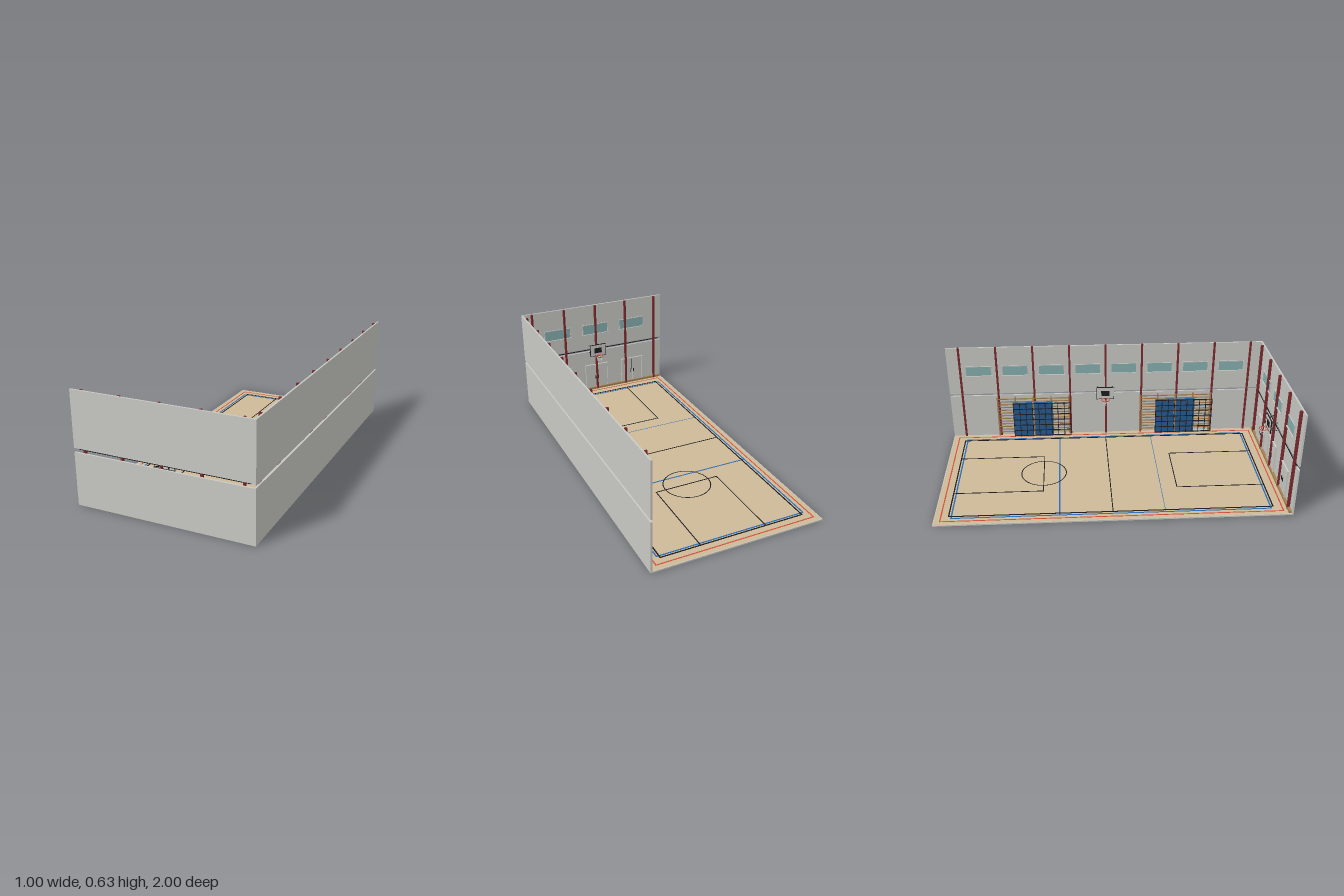
import * as THREE from 'three';

const mat = (name, color) => Object.assign(new THREE.MeshStandardMaterial({ color }), { name });

export function createModel() {
  const M = {
    wall: mat('wall grey', 0xc8c8c4),
    floor: mat('floor tan', 0xcdba98),
    redLine: mat('line red', 0xd2503a),
    blueLine: mat('line blue', 0x2a6cb8),
    black: mat('black', 0x1c1c20),
    column: mat('column red', 0x7c2a2e),
    glass: mat('window glass', 0x86aeae),
    wood: mat('wood', 0xa5804f),
    mat: mat('mat blue', 0x24598f),
    net: mat('net white', 0xe4e2dc),
  };
  const root = new THREE.Group();
  root.name = 'gymnasium';

  // Box given by its limits on each axis
  function box(name, m, x0, x1, y0, y1, z0, z1, parent = root) {
    const mesh = new THREE.Mesh(new THREE.BoxGeometry(x1 - x0, y1 - y0, z1 - z0), m);
    mesh.position.set((x0 + x1) / 2, (y0 + y1) / 2, (z0 + z1) / 2);
    mesh.name = name;
    parent.add(mesh);
    return mesh;
  }
  function rod(name, m, a, b, r, parent) {
    const curve = new THREE.LineCurve3(new THREE.Vector3(...a), new THREE.Vector3(...b));
    const mesh = new THREE.Mesh(new THREE.TubeGeometry(curve, 1, r, 6), m);
    mesh.name = name;
    parent.add(mesh);
  }
  function group(name, parent = root) {
    const g = new THREE.Group();
    g.name = name;
    parent.add(g);
    return g;
  }

  // Floor slab and its grey edge
  const F = 0.008;
  box('floor', M.floor, -0.496, 0.49, 0, F, -0.996, 0.996);
  box('floorEdgeSide', M.wall, -0.5, -0.496, 0, F, -1, 1);
  box('floorEdgeBack', M.wall, -0.496, 0.49, 0, F, -1, -0.996);
  box('floorEdgeFront', M.wall, -0.496, 0.49, 0, F, 0.996, 1);

  // Walls, each in two bands with a gap between
  box('frontWallLower', M.wall, -0.5, 0.49, F, 0.295, 0.99, 1);
  box('frontWallUpper', M.wall, -0.5, 0.49, 0.318, 0.63, 0.99, 1);
  box('sideWallLower', M.wall, 0.49, 0.5, 0, 0.297, -1, 1);
  box('sideWallUpper', M.wall, 0.49, 0.5, 0.311, 0.63, -1, 1);
  box('frontRail', M.black, -0.48, 0.47, 0.308, 0.313, 0.985, 0.989);
  box('frontSkirting', M.wood, -0.49, 0.478, F, 0.022, 0.975, 0.99);

  // Columns
  for (let i = 0; i < 5; i++) {
    const x = -0.445 + i * 0.22;
    box('frontColumn', M.column, x - 0.006, x + 0.006, F, 0.629, 0.974, 0.99);
  }
  for (let i = 0; i < 9; i++) {
    const z = -0.92 + i * 0.23;
    box('sideColumn', M.column, 0.478, 0.49, F, 0.635, z - 0.006, z + 0.006);
  }

  // Court markings
  const lines = group('courtLines');
  const strip = (m, x0, x1, z0, z1, h, w = 0.006) => box('courtLine', m,
    x0 - w / 2, x1 + w / 2, F, F + h, z0 - w / 2, z1 + w / 2, lines);
  function outline(m, x0, x1, z0, z1, h, w) {
    for (const x of [x0, x1]) strip(m, x, x, z0, z1, h, w);
    for (const z of [z0, z1]) strip(m, x0, x1, z, z, h, w);
  }
  outline(M.redLine, -0.467, 0.455, -0.963, 0.952, 0.001, 0.007);
  outline(M.blueLine, -0.44, 0.425, -0.905, 0.888, 0.001, 0.008);
  outline(M.black, -0.423, 0.412, -0.92, 0.902, 0.002, 0.007);
  strip(M.blueLine, -0.44, 0.425, -0.305, -0.305, 0.001, 0.008);
  strip(M.blueLine, -0.44, 0.425, 0.29, 0.29, 0.001, 0.003);
  strip(M.black, -0.423, 0.412, -0.005, -0.005, 0.002, 0.005);
  outline(M.black, -0.197, 0.187, -0.92, -0.4, 0.002, 0.005);
  outline(M.black, -0.197, 0.187, 0.385, 0.902, 0.002, 0.005);
  const circle = new THREE.Mesh(new THREE.RingGeometry(0.132, 0.138, 64), M.black);
  circle.name = 'courtCircle';
  circle.rotation.x = -Math.PI / 2;
  circle.position.set(-0.005, F + 0.0025, -0.4);
  lines.add(circle);

  // Wall fittings are built facing -z with the wall at z = 0
  function place(g, side, along) {
    if (side) {
      g.rotation.y = Math.PI / 2;
      g.position.set(0.49, 0, along);
    } else g.position.set(along, 0, 0.99);
    return g;
  }
  function frame(g, m, w, y0, y1, t, d) {
    for (const s of [-1, 1]) box('frameSide', m, s * w / 2 - t / 2, s * w / 2 + t / 2, y0, y1, -d, 0, g);
    box('frameTop', m, -w / 2, w / 2, y1 - t, y1, -d, 0, g);
  }

  // Windows
  function addWindow(side, along, w, y0, y1) {
    const g = place(group('window'), side, along);
    box('windowGlass', M.glass, -w / 2, w / 2, y0, y1, -0.003, 0, g);
    frame(g, M.wall, w, y0, y1, 0.004, 0.006);
    box('windowSill', M.wall, -w / 2 - 0.005, w / 2 + 0.005, y0 - 0.005, y0, -0.01, 0, g);
  }
  for (let i = 0; i < 8; i++) addWindow(true, -0.805 + i * 0.23, 0.16, 0.44, 0.505);
  for (const x of [0.265, -0.005, -0.275]) {
    addWindow(false, x, 0.18, 0.425, 0.495);

    // Double door below each front window
    const g = place(group('doubleDoor'), false, x);
    frame(g, M.wall, 0.16, F, 0.195, 0.006, 0.01);
    for (const s of [-1, 1]) {
      box('doorLeaf', M.wall, s * 0.039 - 0.037, s * 0.039 + 0.037, F, 0.187, -0.005, 0, g);
      box('doorHandle', M.black, s * 0.011 - 0.002, s * 0.011 + 0.002, 0.085, 0.11, -0.01, -0.005, g);
    }
    box('doorSeam', M.black, -0.001, 0.001, F, 0.187, -0.004, 0, g);
  }

  // Basketball hoops
  function addHoop(side) {
    const g = place(group('basketballHoop'), side, -0.005);
    box('backboard', M.wall, -0.056, 0.056, 0.275, 0.355, -0.044, -0.04, g);
    for (const s of [-1, 1]) {
      box('backboardEdge', M.black, s * 0.056 - 0.0015, s * 0.056 + 0.0015, 0.275, 0.355, -0.045, -0.039, g);
      for (const y of [0.29, 0.34]) rod('bracket', M.black, [s * 0.05, y, 0], [s * 0.02, y, -0.04], 0.003, g);
    }
    for (const y of [0.275, 0.355]) box('backboardEdge', M.black, -0.056, 0.056, y - 0.0015, y + 0.0015, -0.045, -0.039, g);
    box('targetSquare', M.black, -0.026, 0.026, 0.295, 0.332, -0.046, -0.044, g);
    const ring = new THREE.Mesh(new THREE.TorusGeometry(0.024, 0.0025, 6, 24), M.redLine);
    ring.name = 'hoopRing';
    ring.rotation.x = Math.PI / 2;
    ring.position.set(0, 0.28, -0.071);
    g.add(ring);
    for (let i = 0; i < 10; i++) {
      const a = i * Math.PI / 5;
      for (const d of [-0.5, 0.5]) rod('netCord', M.net,
        [0.024 * Math.cos(a), 0.28, -0.071 + 0.024 * Math.sin(a)],
        [0.014 * Math.cos(a + d), 0.245, -0.071 + 0.014 * Math.sin(a + d)], 0.0008, g);
    }
  }
  addHoop(false);
  addHoop(true);

  // Climbing bars, mats and black lattice along the side wall
  for (const z of [-0.7, 0.225]) {
    const g = group('climbingStation');
    for (let i = 0; i <= 4; i++) {
      const p = z + i * 0.115;
      box('barPost', M.wood, 0.474, 0.49, F, 0.285, p - 0.004, p + 0.004, g);
    }
    for (let i = 0; i < 13; i++) {
      const y = 0.03 + i * 0.02;
      box('woodenBar', M.wood, 0.477, 0.482, y, y + 0.006, z, z + 0.46, g);
    }
    for (const m of [0.1, 0.235]) box('mat', M.mat, 0.457, 0.474, F, 0.25, z + m, z + m + 0.12, g);
    for (let i = 0; i <= 9; i++) {
      const p = z + 0.1 + i * 0.041;
      box('latticePost', M.black, 0.453, 0.457, F, 0.252, p - 0.002, p + 0.002, g);
    }
    for (let i = 0; i <= 6; i++) {
      const y = 0.012 + i * 0.039;
      box('latticeRail', M.black, 0.453, 0.457, y, y + 0.004, z + 0.1, z + 0.469, g);
    }
  }
  return root;
}
